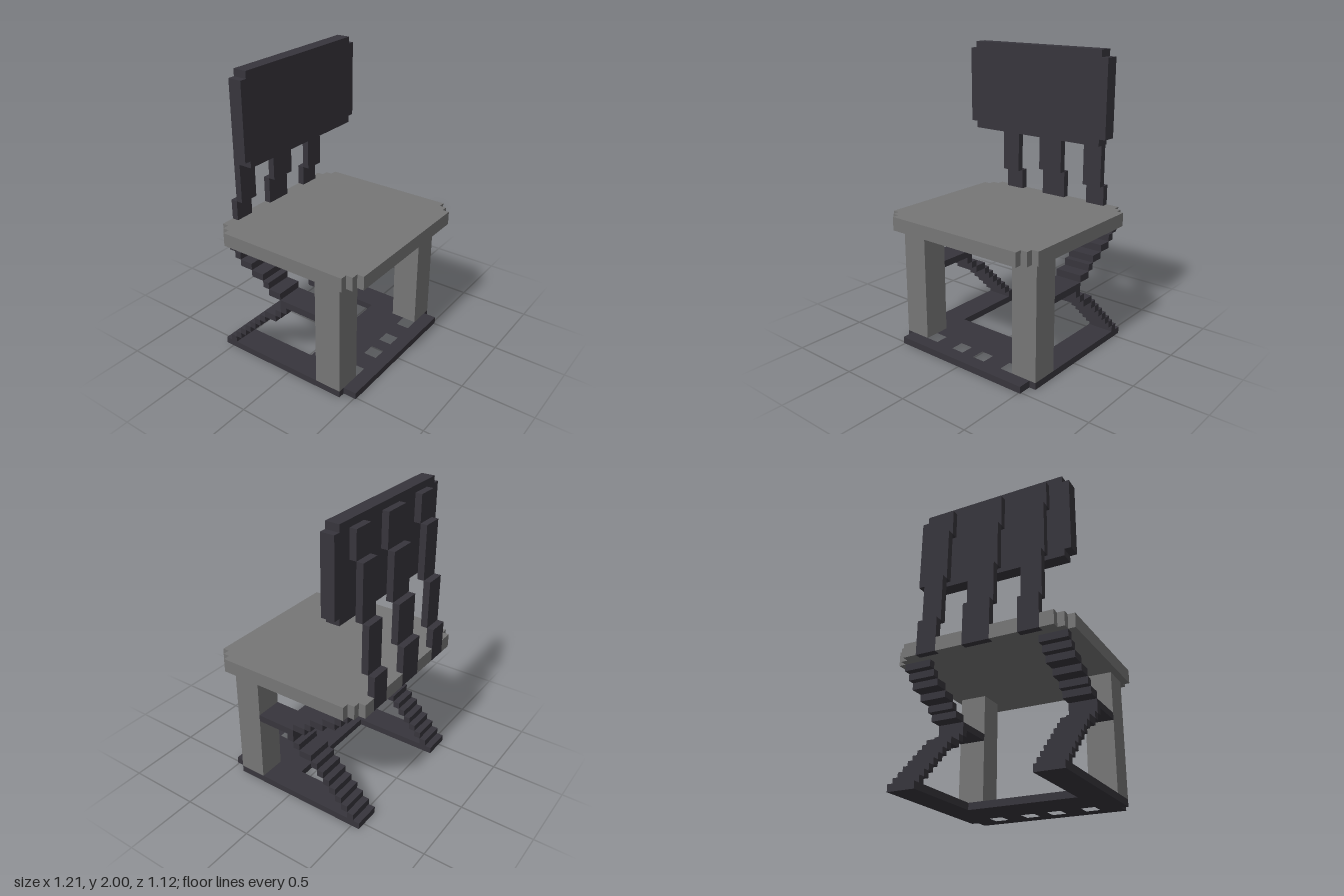
import * as THREE from 'three';

// All dimensions are in blocks; 43 blocks make the full height of 2 units.
const U = 2 / 43;

const darkFrame = new THREE.MeshStandardMaterial({ color: 0x37353c });
darkFrame.name = 'dark frame';
const greyWood = new THREE.MeshStandardMaterial({ color: 0x767676 });
greyWood.name = 'grey wood';

// Box given by its lower and upper limits on each axis
function box(name, material, [x0, x1], [y0, y1], [z0, z1]) {
  const geometry = new THREE.BoxGeometry((x1 - x0) * U, (y1 - y0) * U, (z1 - z0) * U);
  const mesh = new THREE.Mesh(geometry, material);
  mesh.position.set((x0 + x1) / 2 * U, (y0 + y1) / 2 * U, (z0 + z1) / 2 * U);
  mesh.name = name;
  return mesh;
}

const toPoints = (list) => list.map(([a, b]) => new THREE.Vector2(a * U, b * U));

// Outline with points for the +x half, mirrored to -x
const mirrored = (half) => toPoints([...half, ...half.map(([x, v]) => [-x, v]).reverse()]);

// Horizontal slab from an outline in x and z
function slab(name, material, outline, holes, y0, y1) {
  const shape = new THREE.Shape(outline);
  holes.forEach((h) => shape.holes.push(new THREE.Path(h)));
  const geometry = new THREE.ExtrudeGeometry(shape, { depth: (y1 - y0) * U, bevelEnabled: false });
  geometry.rotateX(Math.PI / 2);
  geometry.translate(0, y1 * U, 0);
  const mesh = new THREE.Mesh(geometry, material);
  mesh.name = name;
  return mesh;
}

export function createModel() {
  const chair = new THREE.Group();
  chair.name = 'chair';

  // Seat with stepped corners and rear notches for the slats
  chair.add(slab('seat', greyWood, mirrored([
    [11, 12], [11, 11], [12, 11], [12, 10], [13, 10],
    [13, -10], [12, -10], [12, -11], [11, -11], [11, -12],
    [9, -12], [9, -11], [6, -11], [6, -12], [2, -12], [2, -11],
  ]), [], 18, 20));

  // U-shaped base, open at the rear, with four square holes
  const holes = [-7, -2, 2, 7].map((x) =>
    toPoints([[x - 1, 7], [x - 1, 9], [x + 1, 9], [x + 1, 7]]));
  chair.add(slab('base', darkFrame, mirrored([
    [11, 11], [11, 9], [12, 9], [12, -12], [8, -12], [8, 1],
  ]), holes, 0, 1));

  // Steps of a side strut: y range, then z range
  const steps = [
    [1, 2, -11, -10], [2, 3, -10, -9], [3, 4, -9, -8], [4, 5, -8, -7], [5, 6, -7, -6],
    [6, 7, -6, -5], [7, 8, -5, -4], [8, 9, -4, -2], [9, 10, -2, -1], [10, 12, -1, 0],
    [11, 12, 0, 5],
    [12, 13, -3, -1], [13, 14, -4, -3], [14, 15, -6, -4], [15, 16, -8, -6],
    [16, 17, -9, -8], [17, 18, -10, -9],
  ];
  for (const side of ['left', 'right']) {
    const xs = side === 'left' ? [8, 12] : [-12, -8];
    chair.add(box(side + 'FrontLeg', greyWood, xs, [1, 18], [5, 9]));
    const strut = new THREE.Group();
    strut.name = side + 'SteppedStrut';
    steps.forEach(([y0, y1, z0, z1]) =>
      strut.add(box('strutStep', darkFrame, xs, [y0, y1], [z0, z1])));
    chair.add(strut);
  }

  // Back slats, leaning forward in four steps
  const slats = [
    ['rightSlat', [-9, -6], [18, 23, 30, 38, 42]],
    ['middleSlat', [-2, 2], [18, 24, 30, 37, 42]],
    ['leftSlat', [6, 9], [18, 23, 30, 38, 42]],
  ];
  for (const [name, xs, ys] of slats) {
    const slat = new THREE.Group();
    slat.name = name;
    for (let i = 0; i < 4; i++) {
      slat.add(box('slatStep', darkFrame, xs, [ys[i], ys[i + 1]], [-12 + i, -11 + i]));
    }
    chair.add(slat);
  }

  // Backrest panel with notched corners
  const panel = new THREE.Shape(mirrored([
    [11, 30], [11, 31], [12, 31], [12, 42], [11, 42], [11, 43],
  ]));
  const backGeometry = new THREE.ExtrudeGeometry(panel, { depth: 2 * U, bevelEnabled: false });
  backGeometry.translate(0, 0, -8 * U);
  const backrest = new THREE.Mesh(backGeometry, darkFrame);
  backrest.name = 'backrest';
  chair.add(backrest);

  return chair;
}
